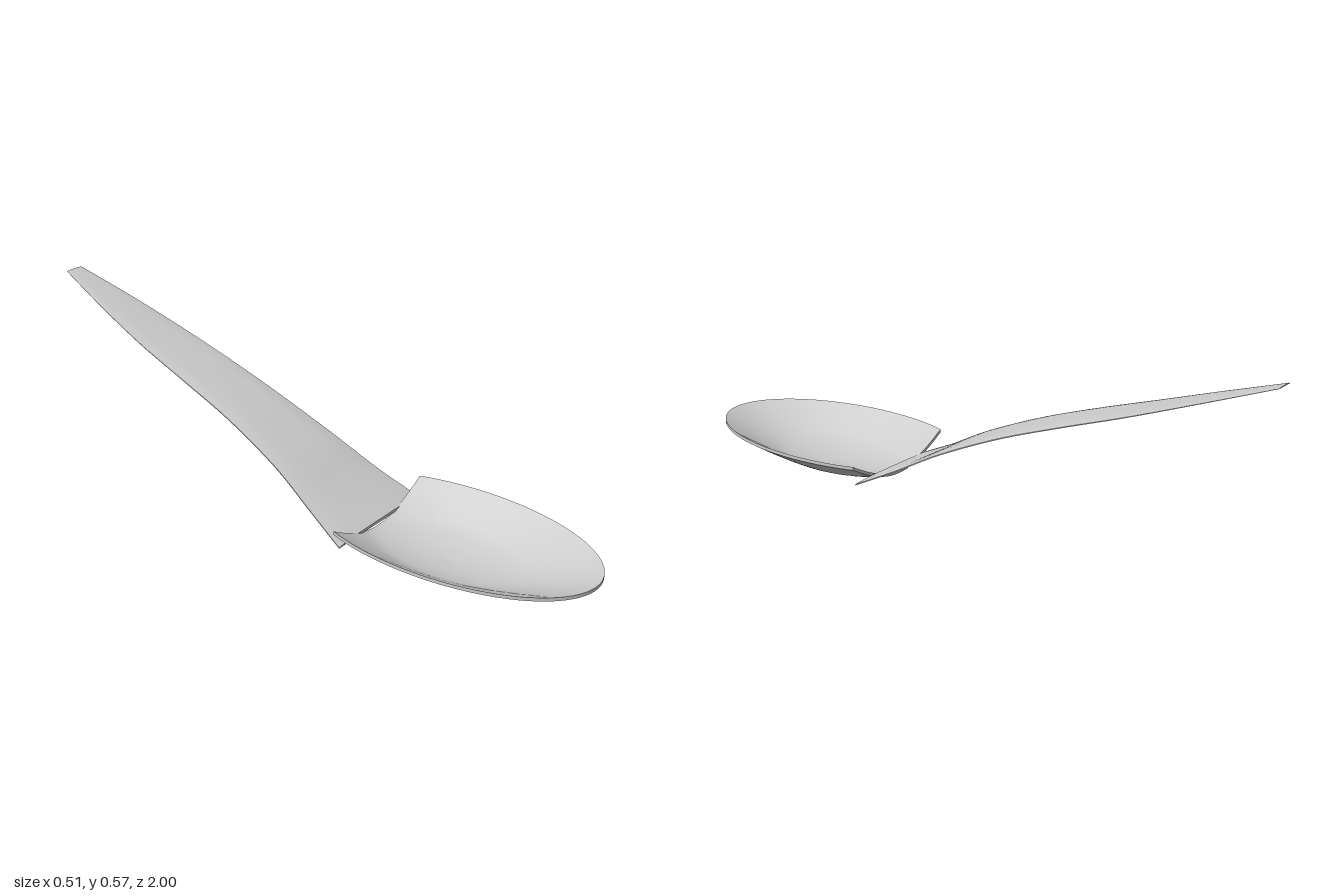
import * as THREE from 'three';

// Smooth surface from a rule p(u, v) -> [x, y, z], with u and v in 0..1
function surface(nu, nv, rule, flip = false) {
  const pos = [], idx = [];
  for (let i = 0; i <= nu; i++)
    for (let j = 0; j <= nv; j++) pos.push(...rule(i / nu, j / nv));
  for (let i = 0; i < nu; i++)
    for (let j = 0; j < nv; j++) {
      const a = i * (nv + 1) + j, b = a + 1, c = a + nv + 1, d = c + 1;
      if (flip) idx.push(a, c, b, b, c, d);
      else idx.push(a, b, c, b, d, c);
    }
  const g = new THREE.BufferGeometry();
  g.setAttribute('position', new THREE.Float32BufferAttribute(pos, 3));
  g.setIndex(idx);
  g.computeVertexNormals();
  return g;
}

// Smooth function through a few [t, value] points, t ascending
function curve(points) {
  const c = new THREE.SplineCurve(points.map(p => new THREE.Vector2(...p)));
  const samples = c.getPoints(200);
  return t => {
    let i = 1;
    while (i < samples.length - 1 && samples[i].x < t) i++;
    const a = samples[i - 1], b = samples[i];
    return a.y + (b.y - a.y) * THREE.MathUtils.clamp((t - a.x) / (b.x - a.x), 0, 1);
  };
}

export function createModel() {
  const model = new THREE.Group();
  const metal = new THREE.MeshStandardMaterial({ color: 0xcccccc });
  metal.side = THREE.DoubleSide;

  const add = (group, name, geometry) => {
    const mesh = new THREE.Mesh(geometry, metal);
    mesh.name = name;
    group.add(mesh);
  };

  // Bowl: an elliptical dish cut straight across at the back
  const bowl = new THREE.Group();
  bowl.name = 'bowl';
  const RX = 0.257, RZ = 0.47, CZ = 0.53, CUT = 0.25 / RZ, WALL = 0.011;
  const corner = Math.acos(-CUT);
  const depth = curve([[0, 0.003], [0.25, 0.009], [0.48, 0.023], [0.62, 0.041], [0.8, 0.07], [1, 0.105]]);
  const dish = lift => (from, to) => (u, v) => {
    const a = from + (to - from) * v;
    const reach = Math.cos(a) < -CUT ? CUT / -Math.cos(a) : 1;
    const r = reach * u;
    return [RX * r * Math.sin(a), depth(r) + lift, CZ + RZ * r * Math.cos(a)];
  };
  // the full turn starts at a corner so that both corners stay sharp
  const arcShare = 0.75;
  const turn = v => v < arcShare
    ? -corner + 2 * corner * v / arcShare
    : corner + (2 * Math.PI - 2 * corner) * (v - arcShare) / (1 - arcShare);
  const around = lift => (u, v) => dish(lift)(turn(v), turn(v))(u, 0);
  add(bowl, 'bowlOutside', surface(20, 80, around(0), true));
  add(bowl, 'bowlInside', surface(20, 80, around(WALL)));
  const edge = (from, to) => (u, v) => dish(WALL * u)(from, to)(1, v);
  add(bowl, 'bowlRim', surface(1, 60, edge(-corner, corner), true));
  add(bowl, 'bowlBackEdge', surface(1, 20, edge(corner, 2 * Math.PI - corner), true));
  model.add(bowl);

  // Handle: a thin, slightly cambered blade that rises and narrows to the back
  const handle = new THREE.Group();
  handle.name = 'handle';
  const Z0 = -1, Z1 = 0.285;
  const height = curve([[-1, 0.566], [-0.8, 0.495], [-0.6, 0.424], [-0.4, 0.356], [-0.2, 0.283], [0, 0.195], [0.15, 0.115], [0.285, 0.05]]);
  const halfWidth = curve([[-1, 0.032], [-0.8, 0.068], [-0.6, 0.095], [-0.4, 0.11], [-0.2, 0.122], [0, 0.143], [0.15, 0.17], [0.285, 0.2]]);
  const thickness = curve([[-1, 0.003], [-0.6, 0.007], [0, 0.011], [0.285, 0.01]]);
  const blade = (u, v, k) => {
    const z = Z0 + (Z1 - Z0) * u, s = 2 * v - 1;
    const camber = 0.35 + 0.65 * (1 - s ** 4);
    return [0.004 + s * halfWidth(z), height(z) + k * camber * thickness(z), z];
  };
  add(handle, 'handleTop', surface(40, 16, (u, v) => blade(u, v, 1), true));
  add(handle, 'handleUnderside', surface(40, 16, (u, v) => blade(u, v, 0)));
  add(handle, 'handleTip', surface(1, 16, (u, v) => blade(0, v, u), false));
  add(handle, 'handleRoot', surface(1, 16, (u, v) => blade(1, v, u), true));
  add(handle, 'handleRightEdge', surface(1, 40, (u, v) => blade(v, 0, u), true));
  add(handle, 'handleLeftEdge', surface(1, 40, (u, v) => blade(v, 1, u), false));

  // Wind every face outwards
  const outward = {
    handleTop: [0, 1, 0], handleUnderside: [0, -1, 0], handleTip: [0, 0, -1],
    handleRoot: [0, 0, 1], handleRightEdge: [-1, 0, 0], handleLeftEdge: [1, 0, 0],
    bowlOutside: [0, -1, 0], bowlInside: [0, 1, 0], bowlBackEdge: [0, 0, -1], bowlRim: [0, 0, 1],
  };
  model.add(handle);
  model.traverse(part => {
    if (!part.isMesh) return;
    const n = part.geometry.attributes.normal, dir = outward[part.name];
    let sum = 0;
    for (let i = 0; i < n.count; i++) sum += n.getX(i) * dir[0] + n.getY(i) * dir[1] + n.getZ(i) * dir[2];
    if (sum < 0) {
      part.geometry.index.array.reverse();
      part.geometry.computeVertexNormals();
    }
  });
  return model;
}
